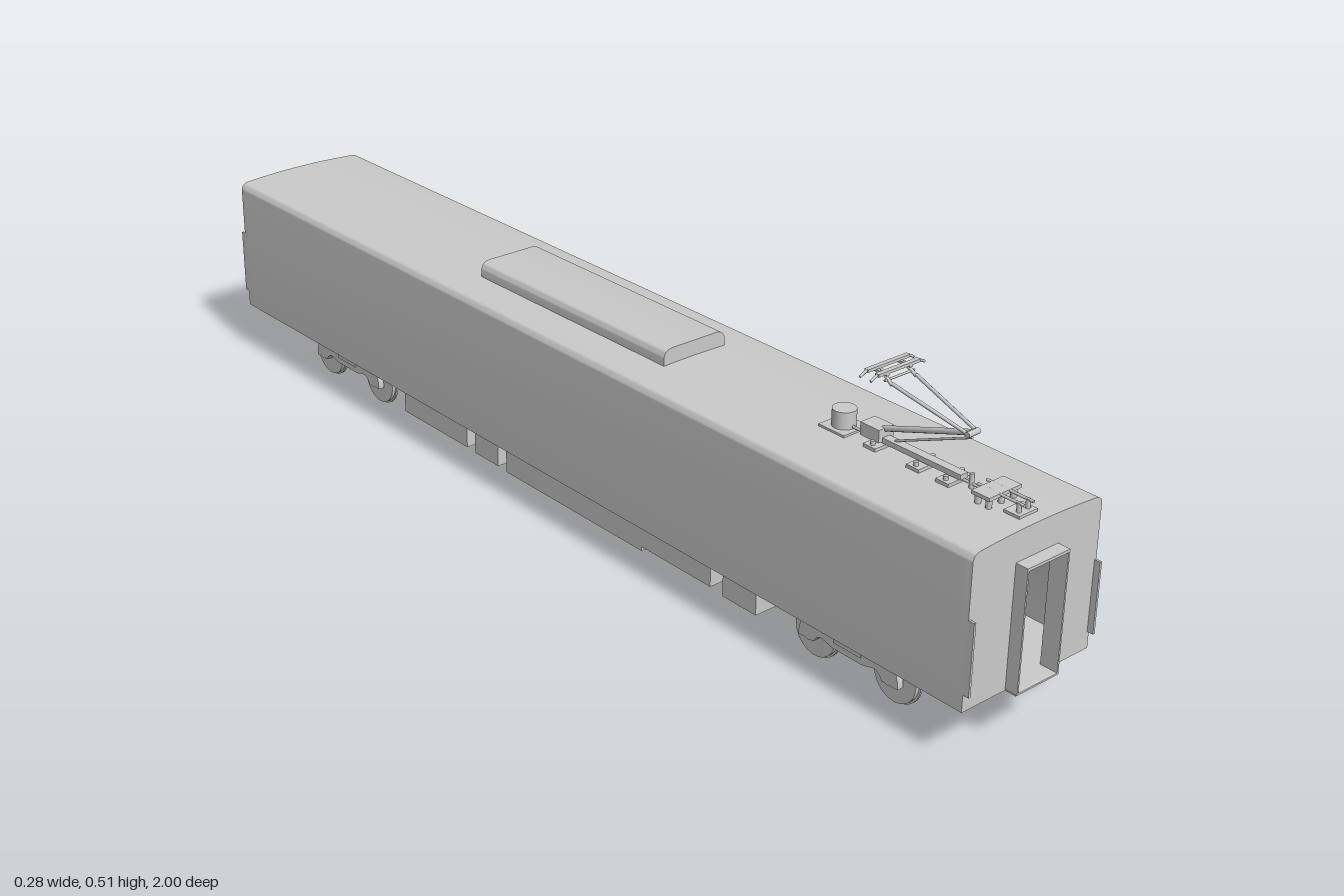
import * as THREE from 'three';
import { toCreasedNormals } from 'three/addons/utils/BufferGeometryUtils.js';

const mat = new THREE.MeshStandardMaterial({ color: 0xcccccc, side: THREE.DoubleSide });

function add(parent, name, geo, x = 0, y = 0, z = 0) {
  const m = new THREE.Mesh(geo, mat);
  m.name = name;
  m.position.set(x, y, z);
  parent.add(m);
  return m;
}

// Box given by its limits on each axis
function box(parent, name, x0, x1, y0, y1, z0, z1) {
  return add(parent, name, new THREE.BoxGeometry(x1 - x0, y1 - y0, z1 - z0),
    (x0 + x1) / 2, (y0 + y1) / 2, (z0 + z1) / 2);
}

// Round bar between two points
function bar(parent, name, a, b, r) {
  const p = new THREE.Vector3(...a), q = new THREE.Vector3(...b);
  const m = add(parent, name, new THREE.CylinderGeometry(r, r, p.distanceTo(q), 8));
  m.position.copy(p).add(q).multiplyScalar(0.5);
  m.quaternion.setFromUnitVectors(new THREE.Vector3(0, 1, 0), q.sub(p).normalize());
  return m;
}

// Shape extruded along z from z0 to z1
function extrude(shape, z0, z1) {
  const g = new THREE.ExtrudeGeometry(shape, { depth: z1 - z0, bevelEnabled: false, curveSegments: 8 });
  return toCreasedNormals(g.translate(0, 0, z0), 0.6);
}

// Car cross-section, inset by t
function section(t, Type) {
  const w = 0.14 - t, b = 0.1 + t, s = new Type();
  s.moveTo(-w, b);
  s.lineTo(w, b);
  s.lineTo(w, 0.348 - t);
  s.quadraticCurveTo(w, 0.362 - t, w - 0.018, 0.363 - t);
  s.quadraticCurveTo(0, 0.372 - t, -w + 0.018, 0.363 - t);
  s.quadraticCurveTo(-w, 0.362 - t, -w, 0.348 - t);
  s.closePath();
  return s;
}

function rect(Type, w, y0, y1) {
  const s = new Type();
  s.moveTo(-w, y0); s.lineTo(w, y0); s.lineTo(w, y1); s.lineTo(-w, y1);
  s.closePath();
  return s;
}

function buildBody(root) {
  const g = new THREE.Group();
  g.name = 'body';
  root.add(g);
  const shell = section(0, THREE.Shape);
  shell.holes.push(section(0.005, THREE.Path));
  add(g, 'bodyShell', extrude(shell, -0.967, 0.967));

  for (const s of [1, -1]) {
    const span = (a, b) => (s > 0 ? [a, b] : [-b, -a]);
    // End wall with doorway
    const wall = section(0, THREE.Shape);
    wall.holes.push(rect(THREE.Path, 0.043, 0.105, 0.31));
    add(g, 'endWall', extrude(wall, ...span(0.967, 0.977)));
    // Gangway frame round the doorway
    const frame = rect(THREE.Shape, 0.046, 0.102, 0.315);
    frame.holes.push(rect(THREE.Path, 0.043, 0.105, 0.31));
    add(g, 'gangwayFrame', extrude(frame, ...span(0.977, 1)));
    // Thin plates on the end corners
    for (const x of [-0.138, 0.138])
      box(g, 'cornerPlate', x - 0.002, x + 0.002, 0.13, 0.255, ...span(0.975, 0.988));
    // Coupler
    box(g, 'couplerShank', -0.012, 0.012, 0.083, 0.1, ...span(0.9, 0.95));
    box(g, 'couplerHead', -0.018, 0.018, 0.077, 0.1, ...span(0.94, 0.975));
  }

  // Roof cooling unit with rounded shoulders
  const ac = new THREE.Shape();
  ac.moveTo(-0.067, 0.36);
  ac.lineTo(0.067, 0.36);
  ac.lineTo(0.067, 0.38);
  ac.quadraticCurveTo(0.066, 0.393, 0.05, 0.395);
  ac.lineTo(-0.05, 0.395);
  ac.quadraticCurveTo(-0.066, 0.393, -0.067, 0.38);
  ac.closePath();
  add(g, 'roofCoolingUnit', extrude(ac, -0.272, 0.23));
}

function buildUnderframe(root) {
  // Equipment cases: z from, z to, bottom height
  const cases = [[0.42, 0.5, 0.028], [0.215, 0.39, 0.032], [-0.165, 0.215, 0.024],
    [-0.26, -0.19, 0.026], [-0.485, -0.285, 0.028]];
  for (const [z0, z1, y] of cases) box(root, 'equipmentCase', -0.1, 0.1, y, 0.102, z0, z1);
}

function buildBogie(root, z) {
  const g = new THREE.Group();
  g.name = 'bogie';
  g.position.z = z;
  root.add(g);
  for (const az of [-0.087, 0.087]) {
    bar(g, 'axle', [-0.098, 0.048, az], [0.098, 0.048, az], 0.01);
    for (const x of [-0.077, 0.077]) {
      // Wheel with a flange on its inner face
      const s = Math.sign(x);
      bar(g, 'wheelTread', [x - 0.005, 0.047, az], [x + 0.005, 0.047, az], 0.044)
        .geometry = new THREE.CylinderGeometry(0.044, 0.044, 0.01, 32);
      add(g, 'wheelFlange', new THREE.CylinderGeometry(0.048, 0.048, 0.004, 32), x - s * 0.004, 0.048, az)
        .rotation.z = Math.PI / 2;
    }
  }
  // Curved side frames: high over the axle, dipping to the middle
  const f = new THREE.Shape();
  f.moveTo(-0.108, 0.04);
  f.lineTo(-0.075, 0.04);
  f.bezierCurveTo(-0.06, 0.066, -0.05, 0.048, -0.03, 0.048);
  f.lineTo(0.03, 0.048);
  f.bezierCurveTo(0.05, 0.048, 0.06, 0.066, 0.075, 0.04);
  f.lineTo(0.108, 0.04);
  f.bezierCurveTo(0.11, 0.075, 0.085, 0.09, 0.062, 0.076);
  f.lineTo(0.03, 0.064);
  f.lineTo(-0.03, 0.064);
  f.lineTo(-0.062, 0.076);
  f.bezierCurveTo(-0.085, 0.09, -0.11, 0.075, -0.108, 0.04);
  for (const x of [-0.092, 0.092]) {
    const m = add(g, 'sideFrame', extrude(f, -0.006, 0.006), x);
    m.rotation.y = Math.PI / 2;
    box(g, 'springBlock', x - 0.008, x + 0.008, 0.06, 0.082, -0.03, 0.03);
  }
  box(g, 'bolster', -0.098, 0.098, 0.08, 0.102, -0.065, 0.065);
  box(g, 'crossBeam', -0.09, 0.09, 0.05, 0.08, -0.025, 0.025);
}

function buildPantograph(root) {
  const g = new THREE.Group();
  g.name = 'pantograph';
  root.add(g);
  // Base on short posts
  box(g, 'baseBeam', -0.008, 0.008, 0.376, 0.385, 0.63, 0.83);
  box(g, 'basePivot', -0.016, 0.016, 0.378, 0.4, 0.63, 0.67);
  for (const z of [0.66, 0.75, 0.81]) {
    box(g, 'basePlate', -0.026, 0.026, 0.366, 0.373, z - 0.013, z + 0.013);
    for (const x of [-0.018, 0.018]) bar(g, 'baseInsulator', [x, 0.366, z], [x, 0.38, z], 0.004);
  }
  // Folding arms
  bar(g, 'lowerArm', [0, 0.395, 0.66], [0, 0.457, 0.84], 0.005);
  bar(g, 'controlRod', [0, 0.385, 0.69], [0, 0.448, 0.84], 0.002);
  bar(g, 'elbow', [-0.012, 0.456, 0.84], [0.012, 0.456, 0.84], 0.005);
  for (const s of [-1, 1]) {
    bar(g, 'upperArm', [s * 0.009, 0.456, 0.84], [s * 0.026, 0.492, 0.7], 0.003);
    bar(g, 'headSupport', [s * 0.026, 0.49, 0.7], [s * 0.024, 0.506, 0.675], 0.003);
  }
  bar(g, 'upperCrossBar', [-0.032, 0.495, 0.69], [0.032, 0.495, 0.69], 0.002);
  // Collector strips with drooping horns
  for (const z of [0.664, 0.686]) {
    box(g, 'collectorStrip', -0.045, 0.045, 0.504, 0.509, z - 0.004, z + 0.004);
    for (const s of [-1, 1])
      bar(g, 'collectorHorn', [s * 0.044, 0.507, z], [s * 0.058, 0.5, z], 0.0022);
  }
  for (const x of [-0.025, 0.025]) box(g, 'headLink', x - 0.003, x + 0.003, 0.501, 0.505, 0.66, 0.69);
}

function buildRoofGear(root) {
  const g = new THREE.Group();
  g.name = 'roofGear';
  root.add(g);
  // Surge arrester drum
  add(g, 'drum', new THREE.CylinderGeometry(0.02, 0.02, 0.033, 20), 0, 0.384, 0.58);
  box(g, 'drumBase', -0.028, 0.028, 0.364, 0.371, 0.552, 0.608);
  // Switch unit on insulators
  box(g, 'switchPlate', -0.035, 0.035, 0.382, 0.388, 0.875, 0.91);
  for (const x of [-0.027, 0, 0.027])
    for (const z of [0.882, 0.903]) bar(g, 'switchInsulator', [x, 0.362, z], [x, 0.384, z], 0.005);
  for (const x of [-0.01, 0.01]) bar(g, 'switchRod', [x, 0.386, 0.865], [x, 0.386, 0.955], 0.0025);
  box(g, 'switchFoot', -0.02, 0.02, 0.364, 0.372, 0.925, 0.955);
  for (const x of [-0.01, 0.01]) bar(g, 'rodPost', [x, 0.366, 0.945], [x, 0.387, 0.945], 0.004);
  bar(g, 'cablePost', [0, 0.364, 0.845], [0, 0.392, 0.845], 0.004);
  bar(g, 'cable', [0, 0.375, 0.6], [0, 0.375, 0.88], 0.0025);
}

export function createModel() {
  const root = new THREE.Group();
  root.name = 'railCar';
  buildBody(root);
  buildUnderframe(root);
  for (const z of [0.705, -0.685]) buildBogie(root, z);
  buildPantograph(root);
  buildRoofGear(root);
  return root;
}
